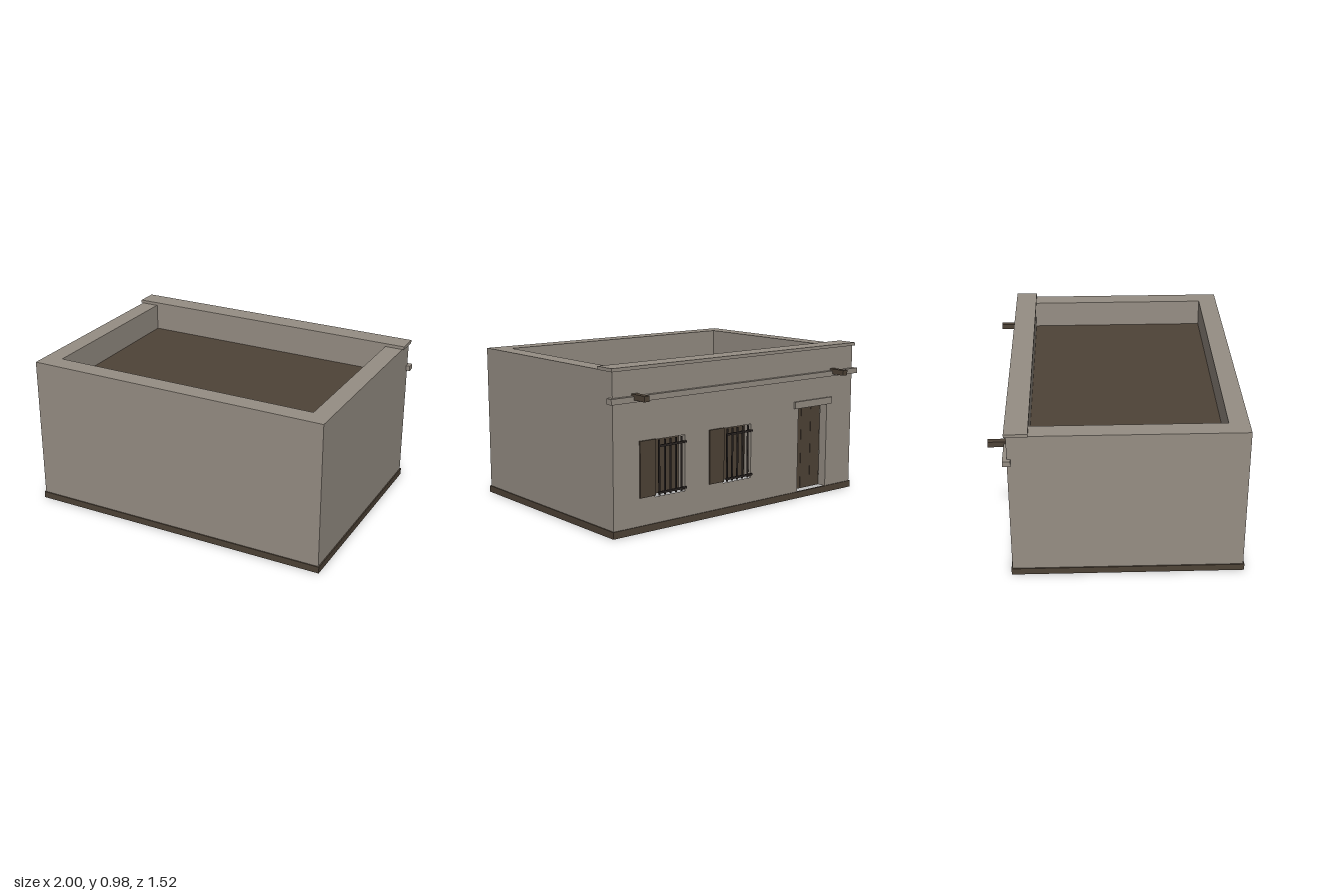
import * as THREE from 'three';

const FRONT = -0.64, REAR = 0.75, HALF = 0.975, TOP = 0.96, ROOF = 0.785, RECESS = 0.06;

function flat(name, color) {
  const m = new THREE.MeshStandardMaterial({ color, side: THREE.DoubleSide });
  m.name = name;
  return m;
}

// Rectangle outline, wound either way for shapes and holes
function rect(path, x0, y0, x1, y1) {
  path.moveTo(x0, y0);
  path.lineTo(x1, y0);
  path.lineTo(x1, y1);
  path.lineTo(x0, y1);
  path.closePath();
  return path;
}

export function createModel() {
  const plaster = flat('plaster', 0x968e84);
  const wood = flat('brown wood', 0x4e4337);
  const iron = flat('dark iron', 0x2a2422);
  const model = new THREE.Group();
  model.name = 'flatRoofedHouse';

  function add(parent, name, geometry, material) {
    const mesh = new THREE.Mesh(geometry, material);
    mesh.name = name;
    parent.add(mesh);
    return mesh;
  }
  // Box given by its two extreme corners
  function box(parent, name, material, x0, x1, y0, y1, z0, z1) {
    const mesh = add(parent, name, new THREE.BoxGeometry(x1 - x0, y1 - y0, z1 - z0), material);
    mesh.position.set((x0 + x1) / 2, (y0 + y1) / 2, (z0 + z1) / 2);
    return mesh;
  }
  // Horizontal rectangular ring, rising from y0 to y1
  function ring(name, material, outer, inner, y0, y1) {
    const shape = rect(new THREE.Shape(), -outer[0], -outer[2], outer[0], -outer[1]);
    shape.holes.push(rect(new THREE.Path(), -inner[0], -inner[2], inner[0], -inner[1]));
    const g = new THREE.ExtrudeGeometry(shape, { depth: y1 - y0, bevelEnabled: false });
    g.rotateX(-Math.PI / 2);
    g.translate(0, y0, 0);
    return add(model, name, g, material);
  }

  const windows = [[0.453, 0.677], [-0.075, 0.153]];
  const sill = 0.2, head = 0.54;
  const door = { x0: -0.745, x1: -0.485, y0: 0.04, y1: 0.595 };

  // Facade sheet with openings
  const facade = rect(new THREE.Shape(), -HALF, 0, HALF, ROOF);
  for (const [a, b] of windows) facade.holes.push(rect(new THREE.Path(), a, sill, b, head));
  facade.holes.push(rect(new THREE.Path(), door.x0, door.y0, door.x1, door.y1));
  const facadeGeo = new THREE.ShapeGeometry(facade);
  facadeGeo.rotateY(Math.PI);
  facadeGeo.scale(1, 1, 1);
  // Turning about y mirrors x, so the outline is mirrored back
  const p = facadeGeo.attributes.position;
  for (let i = 0; i < p.count; i++) p.setX(i, -p.getX(i));
  const index = facadeGeo.index.array;
  for (let i = 0; i < index.length; i += 3) [index[i], index[i + 1]] = [index[i + 1], index[i]];
  add(model, 'facadeWall', facadeGeo, plaster).position.z = FRONT;

  // Plain walls
  const rear = add(model, 'rearWall', new THREE.PlaneGeometry(2 * HALF, ROOF), plaster);
  rear.position.set(0, ROOF / 2, REAR);
  for (const s of [-1, 1]) {
    const side = add(model, 'sideWall', new THREE.PlaneGeometry(REAR - FRONT, ROOF), plaster);
    side.rotation.y = s * Math.PI / 2;
    side.position.set(s * HALF, ROOF / 2, (FRONT + REAR) / 2);
  }

  // Parapet, roof and base
  ring('parapet', plaster, [HALF, FRONT, REAR], [0.86, -0.52, 0.63], ROOF, TOP);
  box(model, 'roofDeck', wood, -0.97, 0.97, ROOF - 0.02, ROOF + 0.001, FRONT + 0.005, REAR - 0.005);
  ring('basePlinth', wood, [0.982, -0.646, 0.757], [0.968, -0.632, 0.743], 0, 0.042);

  // Facade trim
  box(model, 'coping', plaster, -0.987, 0.987, TOP, 0.98, -0.652, -0.515);
  box(model, 'stringCourse', plaster, -1, 1, 0.777, 0.811, -0.665, -0.618);
  for (const x of [-0.785, 0.823]) {
    box(model, 'beamEnd', wood, x - 0.019, x + 0.019, 0.79, 0.824, -0.758, -0.6);
  }

  // Jambs and head lining an opening
  function lining(parent, x0, x1, y0, y1) {
    const z1 = FRONT + RECESS;
    box(parent, 'jamb', plaster, x0 - 0.004, x0, y0, y1, FRONT, z1);
    box(parent, 'jamb', plaster, x1, x1 + 0.004, y0, y1, FRONT, z1);
    box(parent, 'openingHead', plaster, x0, x1, y1, y1 + 0.004, FRONT, z1);
  }

  // Barred windows, each with one open shutter
  for (const [a, b] of windows) {
    const win = new THREE.Group();
    win.name = 'window';
    model.add(win);
    lining(win, a, b, sill, head);
    box(win, 'windowPane', wood, a, b, sill, head, FRONT + RECESS, FRONT + RECESS + 0.01);
    box(win, 'shutter', wood, b, b + 0.114, 0.21, 0.545, -0.65, -0.641);
    for (let i = 0; i < 5; i++) {
      const bar = add(win, 'windowBar', new THREE.CylinderGeometry(0.006, 0.006, head - sill - 0.01, 8), iron);
      bar.position.set(a + (b - a) * (i + 0.7) / 5.4, (sill + head) / 2, -0.642);
    }
    for (const y of [0.222, 0.5]) {
      box(win, 'windowRail', iron, a - 0.005, b - 0.02, y - 0.006, y + 0.006, -0.651, -0.641);
    }
  }

  // Plank door in its recess
  const doorway = new THREE.Group();
  doorway.name = 'doorway';
  model.add(doorway);
  lining(doorway, door.x0, door.x1, door.y0, door.y1);
  const plank = (door.x1 - door.x0) / 3;
  for (let i = 0; i < 3; i++) {
    const x = door.x0 + i * plank;
    box(doorway, 'doorPlank', wood, x + 0.001, x + plank - 0.001, door.y0, door.y1, FRONT + RECESS, FRONT + RECESS + 0.04);
  }
  box(doorway, 'lintel', plaster, -0.78, -0.445, 0.592, 0.637, -0.651, -0.636);

  return model;
}
